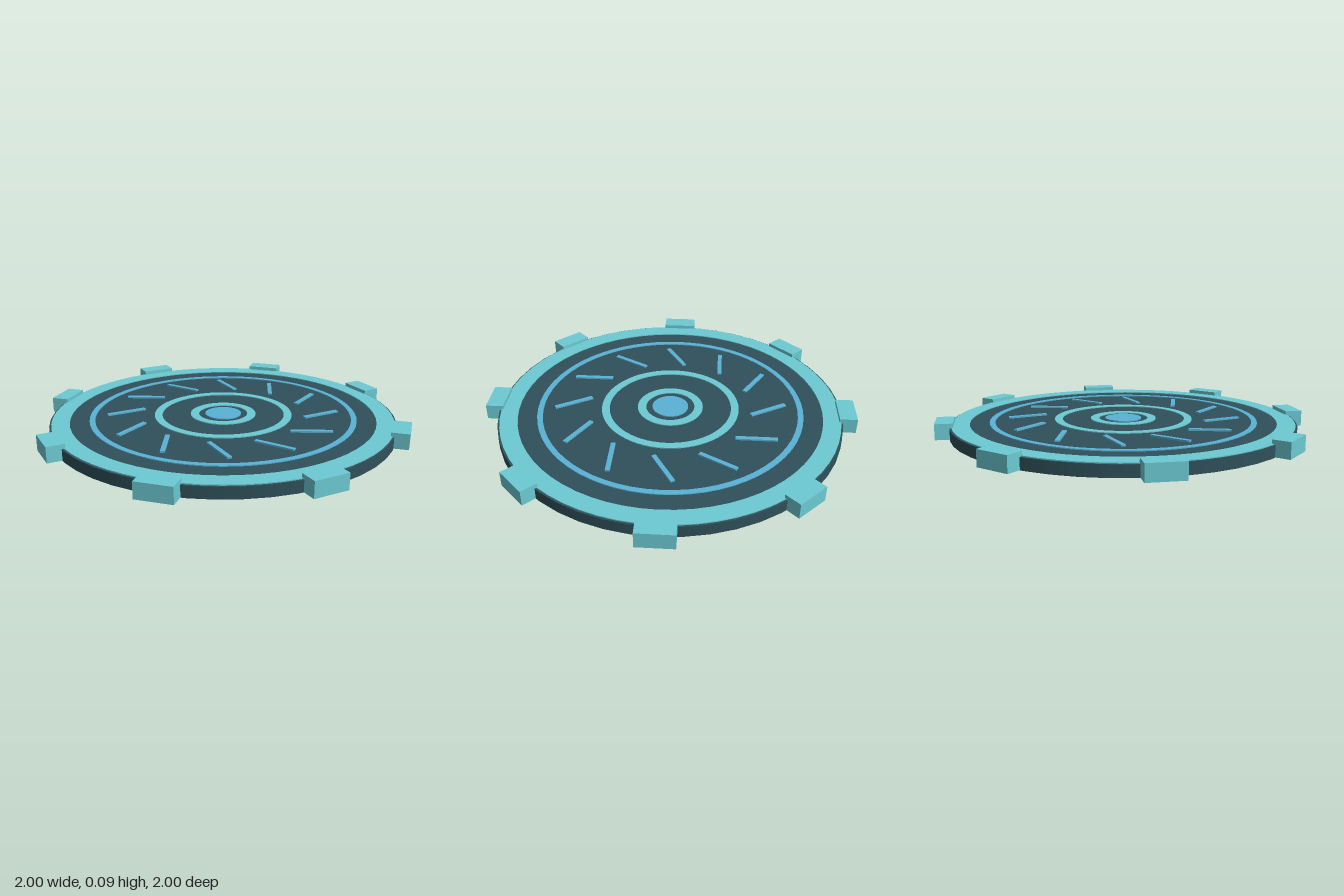
import * as THREE from 'three';

export function createModel() {
  const group = new THREE.Group();
  group.name = 'roundPlatform';

  const material = (name, color) => {
    const m = new THREE.MeshStandardMaterial({ color });
    m.name = name;
    return m;
  };
  const dark = material('darkSlate', 0x2f505a);
  const teal = material('teal', 0x6ccad3);
  const blue = material('skyBlue', 0x5ab2d6);

  const add = (name, geometry, mat, y = 0, parent = group) => {
    const mesh = new THREE.Mesh(geometry, mat);
    mesh.name = name;
    mesh.position.y = y;
    parent.add(mesh);
    return mesh;
  };

  const TOP = 0.06;

  // Flat ring standing slightly proud of the base
  const addRing = (name, inner, outer, mat) => {
    const h = 0.005;
    const profile = [[inner, 0], [outer, 0], [outer, h], [inner, h], [inner, 0]];
    // Each profile edge gets its own lathe so the corners stay sharp
    const ring = new THREE.Group();
    ring.name = name;
    ring.position.y = TOP;
    for (let i = 1; i < 4; i++) {
      const edge = [profile[i], profile[i + 1]].map(([r, y]) => new THREE.Vector2(r, y));
      add(name + 'Face', new THREE.LatheGeometry(edge, 64), mat, 0, ring);
    }
    group.add(ring);
  };

  // Base disc
  add('base', new THREE.CylinderGeometry(0.93, 0.93, TOP, 48), dark, TOP / 2);

  // Concentric rings and hub
  addRing('rimRing', 0.825, 0.92, teal);
  addRing('glowRing', 0.692, 0.722, blue);
  addRing('middleRing', 0.332, 0.374, teal);
  addRing('hubRing', 0.132, 0.178, teal);
  add('hub', new THREE.CylinderGeometry(0.098, 0.098, 0.006, 32), blue, TOP + 0.003);

  // Slanted dashes swirling around the hub
  for (let i = 0; i < 12; i++) {
    const a = THREE.MathUtils.degToRad(15 + 30 * i);
    const dash = add('dash', new THREE.BoxGeometry(0.024, 0.009, 0.217), blue, TOP + 0.0045);
    dash.position.x = Math.sin(a) * 0.533;
    dash.position.z = -Math.cos(a) * 0.533;
    dash.rotation.y = -(a - Math.PI / 6);
  }

  // Clamps around the edge
  for (let i = 0; i < 8; i++) {
    const a = (i * Math.PI) / 4;
    const clamp = add('edgeClamp', new THREE.BoxGeometry(0.187, 0.084, 0.094), teal, 0.043);
    clamp.position.x = Math.sin(a) * 0.953;
    clamp.position.z = Math.cos(a) * 0.953;
    clamp.rotation.y = a;
  }

  return group;
}
